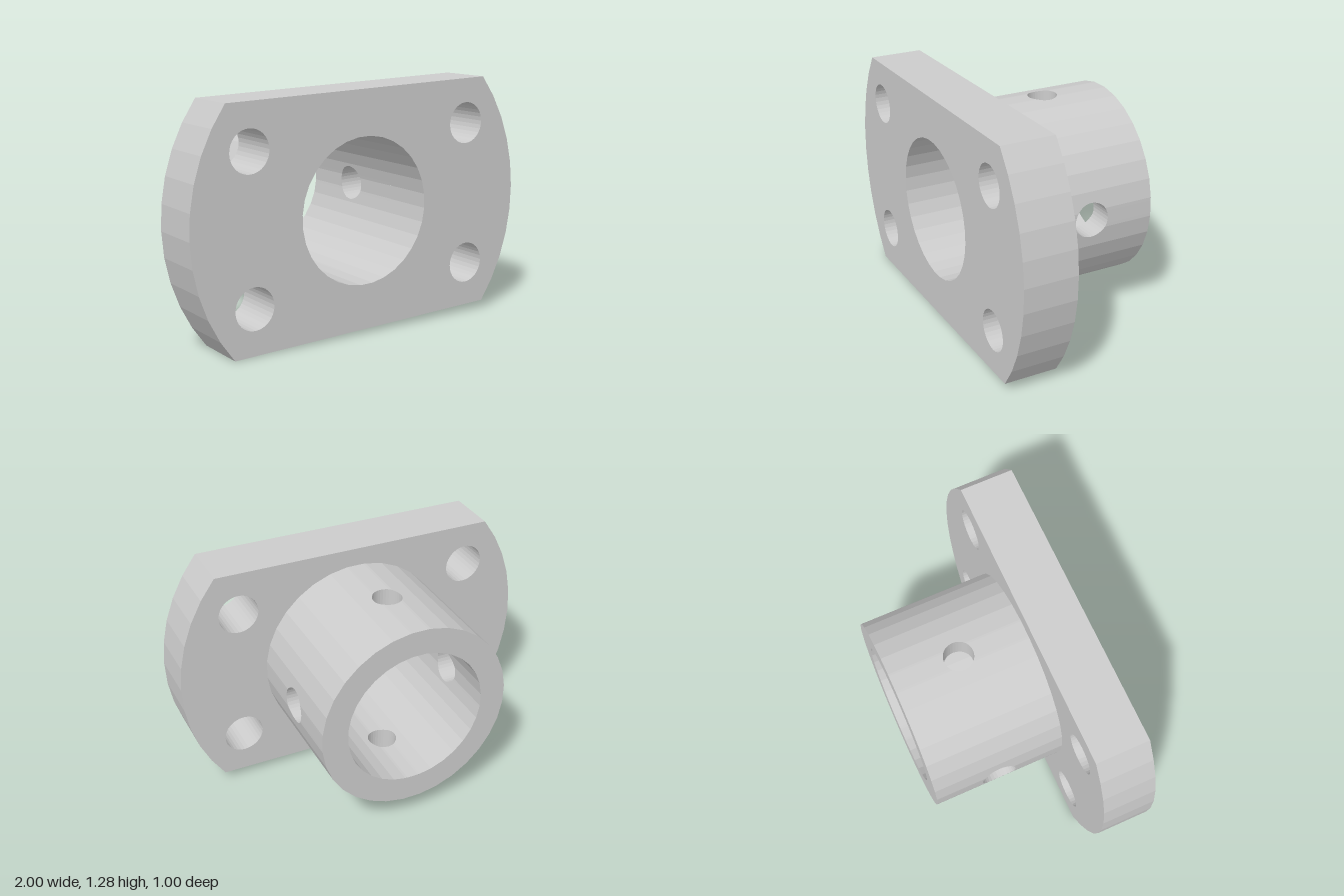
import * as THREE from 'three';

const SIDES = 32, STEP = (2 * Math.PI) / SIDES, PHASE = STEP / 2;
const BORE = 0.382, OUTER = 0.522;
const BACK = -0.5, SEAT = 0.215, FRONT = 0.5;
const HOLE_Z = -0.145, SIDE_HOLE = 0.095, TOP_HOLE = 0.078, HOLE_STEPS = 16;

const material = new THREE.MeshStandardMaterial({ color: 0xcccccc, flatShading: true });

function mesh(name, geometry) {
  const m = new THREE.Mesh(geometry, material);
  m.name = name;
  return m;
}

// Point on a faceted cylinder of radius r
function onFacet(r, a, z) {
  const mid = Math.floor((a - PHASE) / STEP) * STEP + PHASE + STEP / 2;
  const d = (r * Math.cos(STEP / 2)) / Math.cos(a - mid);
  return [d * Math.cos(a), d * Math.sin(a), z];
}

function quad(out, a, b, c, d, flip) {
  if (flip) out.push(...a, ...c, ...b, ...a, ...d, ...c);
  else out.push(...a, ...b, ...c, ...a, ...c, ...d);
}

function fromTriangles(positions) {
  const g = new THREE.BufferGeometry();
  g.setAttribute('position', new THREE.Float32BufferAttribute(positions, 3));
  g.computeVertexNormals();
  return g;
}

const holeRadius = (q) => (q % 2 ? TOP_HOLE : SIDE_HOLE);

// Rim of the cross hole in quarter q, where it cuts radius r: angle and half height
function holeRim(r, q) {
  const h = holeRadius(q), rim = [];
  for (let k = 0; k <= HOLE_STEPS; k++) {
    const t = (Math.PI * k) / HOLE_STEPS;
    rim.push({ a: (q * Math.PI) / 2 + Math.asin((-h * Math.cos(t)) / r), half: h * Math.sin(t) });
  }
  return rim;
}

// Cylinder wall in lengthwise strips that stop at the cross holes
function wall(r, inward) {
  const out = [];
  for (let q = 0; q < 4; q++) {
    const centre = (q * Math.PI) / 2, rim = holeRim(r, q);
    const reach = rim[HOLE_STEPS].a - centre;
    const before = [{ a: centre - Math.PI / 4, half: 0 }], after = [];
    for (let i = -4; i < 4; i++) {
      const off = (i + 0.5) * STEP;
      if (Math.abs(off) > reach) (off < 0 ? before : after).push({ a: centre + off, half: 0 });
    }
    after.push({ a: centre + Math.PI / 4, half: 0 });
    const cols = [...before, ...rim, ...after];
    for (let i = 0; i < cols.length - 1; i++) {
      const p = cols[i], n = cols[i + 1];
      quad(out, onFacet(r, p.a, BACK), onFacet(r, n.a, BACK),
        onFacet(r, n.a, HOLE_Z - n.half), onFacet(r, p.a, HOLE_Z - p.half), inward);
      quad(out, onFacet(r, p.a, HOLE_Z + p.half), onFacet(r, n.a, HOLE_Z + n.half),
        onFacet(r, n.a, SEAT), onFacet(r, p.a, SEAT), inward);
    }
  }
  return fromTriangles(out);
}

// Lining of one cross hole through the sleeve
function holeLining(q) {
  const out = [], o = holeRim(OUTER, q), n = holeRim(BORE, q);
  for (const s of [-1, 1]) {
    const at = (r, p) => onFacet(r, p.a, HOLE_Z + s * p.half);
    for (let k = 0; k < HOLE_STEPS; k++) {
      quad(out, at(OUTER, o[k]), at(OUTER, o[k + 1]), at(BORE, n[k + 1]), at(BORE, n[k]), s > 0);
    }
  }
  return fromTriangles(out);
}

// Polygon points along an arc
function arc(r, from, to, steps, cx = 0, cy = 0) {
  return Array.from({ length: steps + 1 }, (_, i) => {
    const a = from + ((to - from) * i) / steps;
    return new THREE.Vector2(cx + r * Math.cos(a), cy + r * Math.sin(a));
  });
}

// Round plate with two flats, a bore and four bolt holes
function flangeGeometry() {
  const flat = Math.asin(0.618);
  const shape = new THREE.Shape([
    ...arc(1, -flat, flat, 10),
    ...arc(1, Math.PI - flat, Math.PI + flat, 10),
  ]);
  const circle = (r, x, y, phase) =>
    new THREE.Path(arc(r, phase, phase + 2 * Math.PI, SIDES, x, y).slice(0, SIDES));
  shape.holes.push(circle(BORE, 0, 0, PHASE));
  for (const x of [-0.666, 0.666]) {
    for (const y of [-0.382, 0.382]) shape.holes.push(circle(0.109, x, y, 0));
  }
  const g = new THREE.ExtrudeGeometry(shape, { depth: FRONT - SEAT, bevelEnabled: false });
  return g.translate(0, 0, SEAT);
}

export function createModel() {
  const model = new THREE.Group();
  model.name = 'flangedBushing';

  model.add(mesh('flange', flangeGeometry()));

  // Sleeve with four cross holes
  const sleeve = new THREE.Group();
  sleeve.name = 'sleeve';
  sleeve.add(mesh('sleeveOutside', wall(OUTER, false)));
  sleeve.add(mesh('sleeveBore', wall(BORE, true)));
  const end = new THREE.RingGeometry(BORE, OUTER, SIDES, 1, PHASE);
  sleeve.add(mesh('sleeveEnd', end.rotateY(Math.PI).translate(0, 0, BACK)));
  for (let q = 0; q < 4; q++) sleeve.add(mesh('crossHole', holeLining(q)));
  model.add(sleeve);

  // The whole part sits slightly turned about its axis
  model.rotation.z = 0.0287;
  model.position.y = 0.642;
  const root = new THREE.Group();
  root.add(model);
  return root;
}
